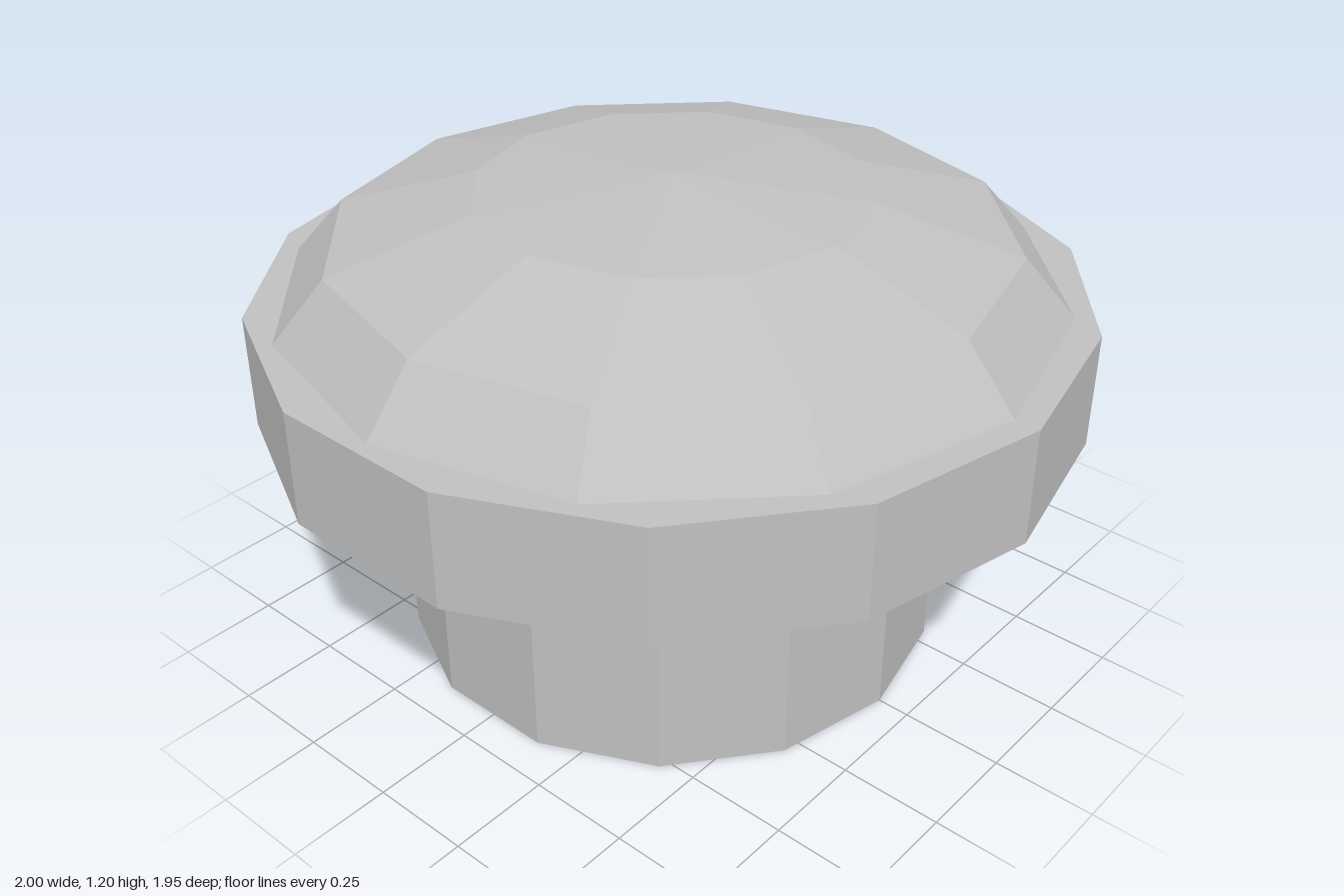
import * as THREE from 'three';

export function createModel() {
  const group = new THREE.Group();
  const grey = new THREE.MeshStandardMaterial({ color: 0xc0c0c0, flatShading: true });
  grey.name = 'grey';

  const add = (name, geometry, y) => {
    const mesh = new THREE.Mesh(geometry, grey);
    mesh.name = name;
    mesh.position.y = y;
    group.add(mesh);
    return mesh;
  };

  // 14-sided prism with a corner pointing along x
  const prism = (radius, height) =>
    new THREE.CylinderGeometry(radius, radius, height, 14, 1).rotateY(Math.PI / 14);

  const rimBottom = 0.63, rimTop = 0.915, top = 1.2;

  // Stem and the wider rim sitting on it
  add('stem', prism(0.67, rimBottom), rimBottom / 2);
  add('rim', prism(1, rimTop - rimBottom), (rimBottom + rimTop) / 2);

  // Flattened 12-sided dome on the rim
  const dome = new THREE.SphereGeometry(0.94, 12, 3, 0, Math.PI * 2, 0, Math.PI / 2);
  dome.scale(1, (top - rimTop) / 0.94, 1);
  add('dome', dome, rimTop);

  return group;
}
